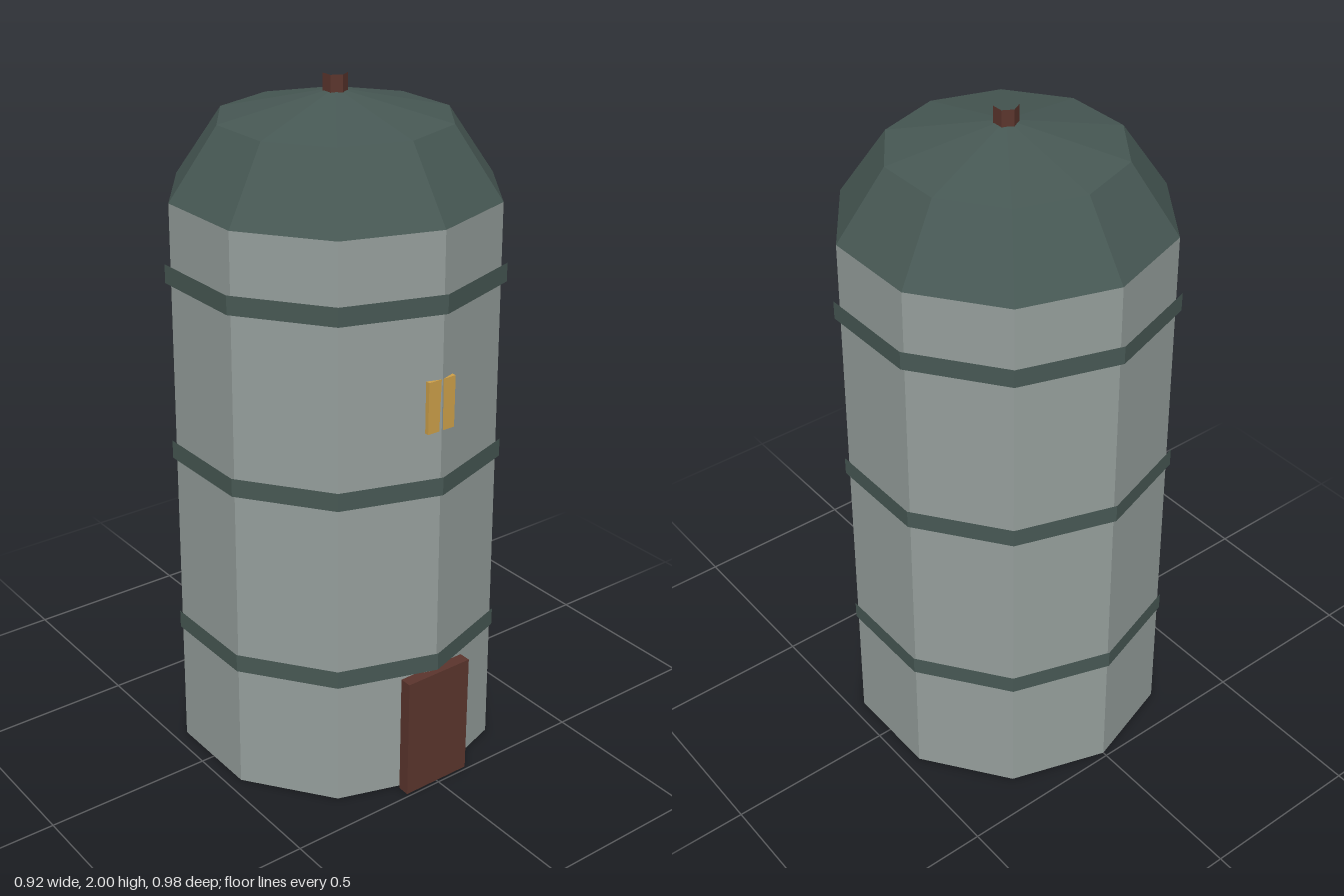
import * as THREE from 'three';

const SIDES = 10;
const AXIS_Z = -0.004;

function material(name, color, extra = {}) {
  const m = new THREE.MeshStandardMaterial({ color, flatShading: true, ...extra });
  m.name = name;
  return m;
}

export function createModel() {
  const stone = material('grey stone', 0x959e9b, { side: THREE.DoubleSide });
  const slate = material('dark slate', 0x475854);
  const wood = material('brown wood', 0x5b352d);
  const amber = material('amber glass', 0xcda04a);

  const model = new THREE.Group();
  model.name = 'tower';

  function add(name, geometry, mat, y, x = 0, z = AXIS_Z) {
    const mesh = new THREE.Mesh(geometry, mat);
    mesh.name = name;
    mesh.position.set(x, y, z);
    model.add(mesh);
    return mesh;
  }

  // Tapered wall, open underneath
  add('wall', new THREE.CylinderGeometry(0.468, 0.482, 1.685, SIDES, 1, true), stone, 1.685 / 2);

  // Faceted dome with a closed underside
  const profile = [[0, 0], [0.468, 0], [0.33, 0.2], [0, 0.275]].map(([r, y]) => new THREE.Vector2(r, y));
  add('domeRoof', new THREE.LatheGeometry(profile, SIDES), slate, 1.685);

  // Open hoops around the wall
  for (const y of [0.407, 0.965, 1.49]) {
    add('hoop', new THREE.CylinderGeometry(0.486, 0.486, 0.054, SIDES, 1, true), slate, y);
  }

  // Open chimney pipe at the peak
  add('chimneyPipe', new THREE.CylinderGeometry(0.034, 0.034, 0.07, 6, 1, true), wood, 1.965);

  // Door and the window pierced by the wall's front corner
  add('door', new THREE.BoxGeometry(0.22, 0.375, 0.036), wood, 0.1875, 0, 0.472);
  add('window', new THREE.BoxGeometry(0.09, 0.15, 0.02), amber, 1.2, 0, 0.4565);

  return model;
}
